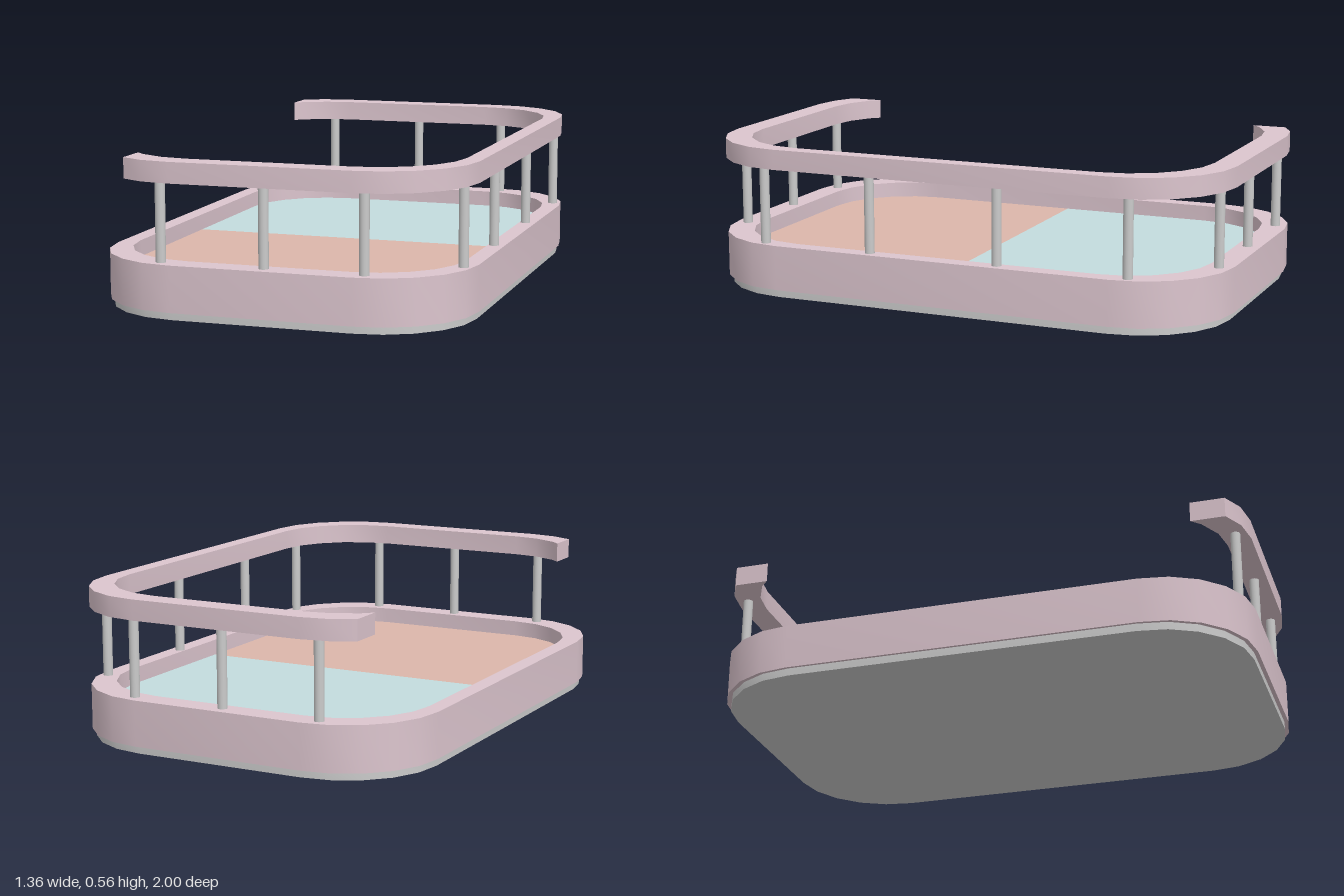
import * as THREE from 'three';
import { toCreasedNormals } from 'three/addons/utils/BufferGeometryUtils.js';

const HALF_X = 0.68, HALF_Z = 1, RADIUS = 0.35, STEPS = 5;
const INNER = 0.908; // inner edge of rim and rail, as a scale of the outer edge
const FLOOR_Y = 0.135, RIM_Y = 0.195, RAIL_Y = 0.48, RAIL_TOP = 0.555;
const RAIL_CUT = -0.52;

const pink = new THREE.MeshStandardMaterial({ color: 0xdcc5ce });
const teal = new THREE.MeshStandardMaterial({ color: 0xc3dcde });
const tan = new THREE.MeshStandardMaterial({ color: 0xdcb7ab });
const grey = new THREE.MeshStandardMaterial({ color: 0xcccccc });

// Rounded rectangle, counter-clockwise, starting and ending on the -x side
function outline(scale) {
  const points = [];
  [[-1, -1], [1, -1], [1, 1], [-1, 1]].forEach(([sx, sy], corner) => {
    for (let i = 0; i <= STEPS; i++) {
      const a = Math.PI + (corner + i / STEPS) * Math.PI / 2;
      points.push(new THREE.Vector2(
        sx * (HALF_X - RADIUS) + RADIUS * Math.cos(a),
        sy * (HALF_Z - RADIUS) + RADIUS * Math.sin(a)
      ).multiplyScalar(scale));
    }
  });
  return points;
}

// Keep the part of a path beyond x = cut, ending exactly on the cut
function clipPath(points, cut) {
  const kept = [];
  points.forEach((p, i) => {
    const q = points[i - 1];
    if (q && (q.x > cut) !== (p.x > cut)) {
      kept.push(q.clone().lerp(p, (cut - q.x) / (p.x - q.x)));
    }
    if (p.x > cut) kept.push(p);
  });
  return kept;
}

// Extrude a plan shape upwards between two heights
function slab(name, shape, y0, y1, material) {
  const geometry = new THREE.ExtrudeGeometry(shape, { depth: y1 - y0, bevelEnabled: false });
  geometry.rotateX(-Math.PI / 2).translate(0, y0, 0);
  const mesh = new THREE.Mesh(toCreasedNormals(geometry, 0.5), material);
  mesh.name = name;
  return mesh;
}

export function createModel() {
  const model = new THREE.Group();
  model.name = 'railedPlatform';

  // Base plate and raised rim
  model.add(slab('basePlate', new THREE.Shape(outline(0.985)), 0, 0.03, grey));
  const rim = new THREE.Shape(outline(1));
  rim.holes.push(new THREE.Path(outline(INNER)));
  model.add(slab('rim', rim, 0.028, RIM_Y, pink));

  // Two-tone floor, each half reaching the middle line
  const half = outline(INNER).filter((p) => p.y < 0);
  half.push(new THREE.Vector2(HALF_X * INNER, 0), new THREE.Vector2(-HALF_X * INNER, 0));
  [['frontFloor', tan, 0], ['backFloor', teal, Math.PI]].forEach(([name, material, turn]) => {
    const geometry = new THREE.ShapeGeometry(new THREE.Shape(half)).rotateX(-Math.PI / 2);
    const floor = new THREE.Mesh(geometry, material);
    floor.name = name;
    floor.position.y = FLOOR_Y;
    floor.rotation.y = turn;
    model.add(floor);
  });

  // Handrail above the rim, open on the -x side
  const railPath = [
    ...clipPath(outline(1), RAIL_CUT),
    ...clipPath(outline(INNER), RAIL_CUT).reverse(),
  ];
  model.add(slab('handrail', new THREE.Shape(railPath), RAIL_Y, RAIL_TOP, pink));

  // Posts along the front, back and +x side
  const posts = new THREE.Group();
  posts.name = 'posts';
  const spots = [];
  for (const z of [-0.95, 0.95]) for (const x of [-0.38, 0, 0.36]) spots.push([x, z]);
  for (const z of [-0.71, -0.22, 0.28, 0.71]) spots.push([0.64, z]);
  const bottom = 0.012, top = RAIL_Y + 0.02;
  const postGeometry = new THREE.CylinderGeometry(0.018, 0.018, top - bottom, 16);
  for (const [x, z] of spots) {
    const post = new THREE.Mesh(postGeometry, grey);
    post.name = 'post';
    post.position.set(x, (top + bottom) / 2, z);
    posts.add(post);
  }
  model.add(posts);

  return model;
}
